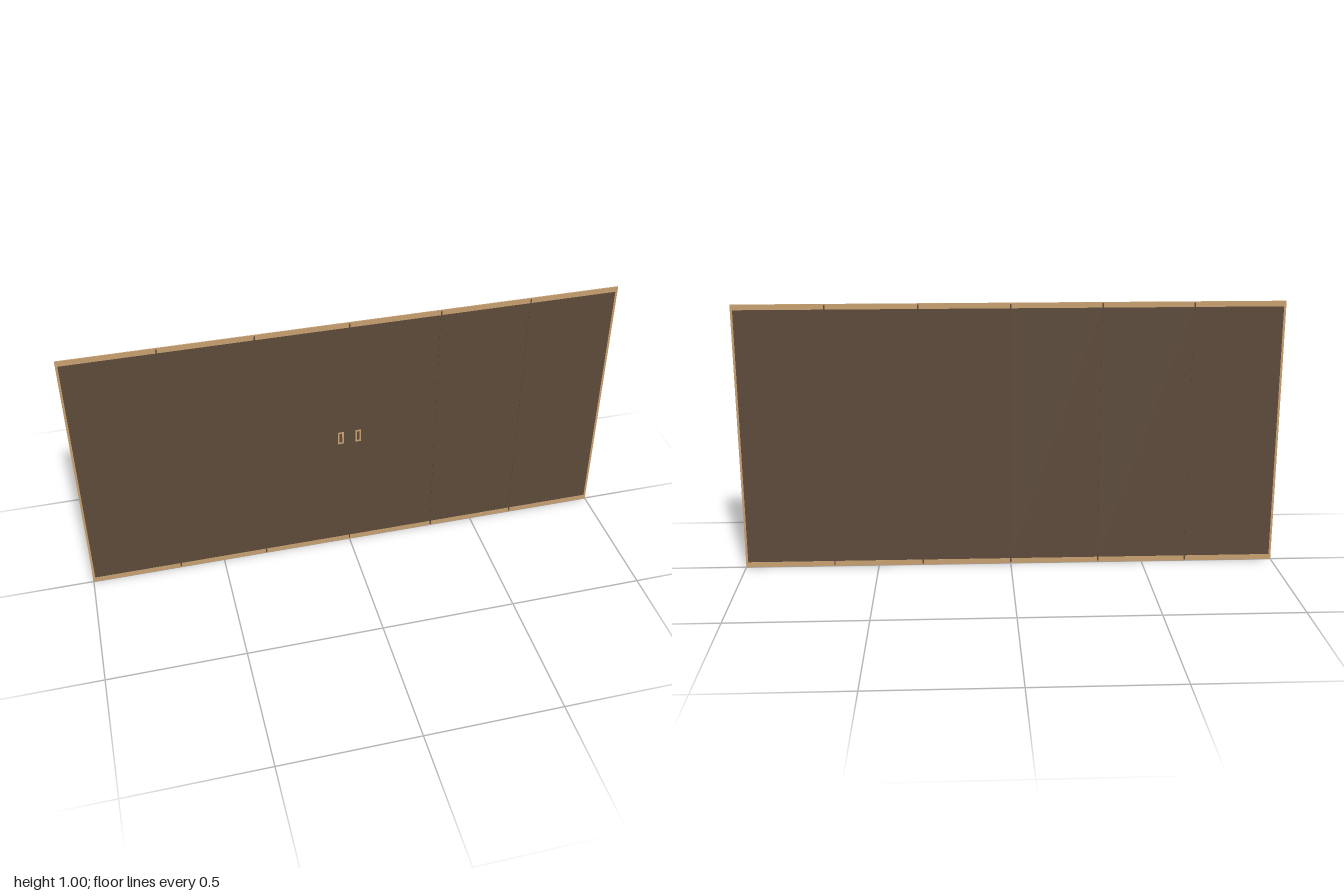
import * as THREE from 'three';

export function createModel() {
  const group = new THREE.Group();
  group.name = 'panelledDoor';
  const brown = new THREE.MeshStandardMaterial({ color: 0x5c4a3a });
  brown.name = 'darkBrown';
  const tan = new THREE.MeshStandardMaterial({ color: 0xc8a070 });
  tan.name = 'lightWood';

  const WIDTH = 2, HEIGHT = 1, DEPTH = 0.004;
  const RAIL = 0.02, STILE = 0.008, PANELS = 6;

  function box(name, material, w, h, d, x, y, z = 0) {
    const mesh = new THREE.Mesh(new THREE.BoxGeometry(w, h, d), material);
    mesh.name = name;
    mesh.position.set(x, y, z);
    group.add(mesh);
  }

  // Top and bottom rails, and the side stiles between them
  for (const y of [RAIL / 2, HEIGHT - RAIL / 2]) box('rail', tan, WIDTH, RAIL, DEPTH, 0, y);
  for (const side of [-1, 1]) {
    box('stile', tan, STILE, HEIGHT - 2 * RAIL, DEPTH, side * (WIDTH - STILE) / 2, HEIGHT / 2);
  }

  // Six recessed panels
  const pitch = WIDTH / PANELS;
  for (let i = 0; i < PANELS; i++) {
    const left = -1 + i * pitch + (i === 0 ? STILE : 0);
    const right = -1 + (i + 1) * pitch - (i === PANELS - 1 ? STILE : 0);
    box('panel', brown, right - left, HEIGHT - 2 * RAIL, 0.0024, (left + right) / 2, HEIGHT / 2);
  }

  // Narrow raised joints where the panels meet
  for (let i = 1; i < PANELS; i++) {
    box('joint', brown, 0.005, HEIGHT - 0.008, DEPTH + 0.001, -1 + i * pitch, HEIGHT / 2);
  }

  // Pair of rectangular ring pulls on the front
  function pullGeometry(w, h, t) {
    const rect = (path, a, b) =>
      path.moveTo(-a, -b).lineTo(a, -b).lineTo(a, b).lineTo(-a, b).closePath();
    const shape = rect(new THREE.Shape(), w / 2, h / 2);
    shape.holes.push(rect(new THREE.Path(), w / 2 - t, h / 2 - t));
    return new THREE.ExtrudeGeometry(shape, { depth: 0.002, bevelEnabled: false });
  }
  for (const side of [-1, 1]) {
    const pull = new THREE.Mesh(pullGeometry(0.022, 0.052, 0.006), tan);
    pull.name = side > 0 ? 'leftPull' : 'rightPull';
    pull.position.set(side * 0.033, 0.505, 0.0008);
    group.add(pull);
  }

  return group;
}
